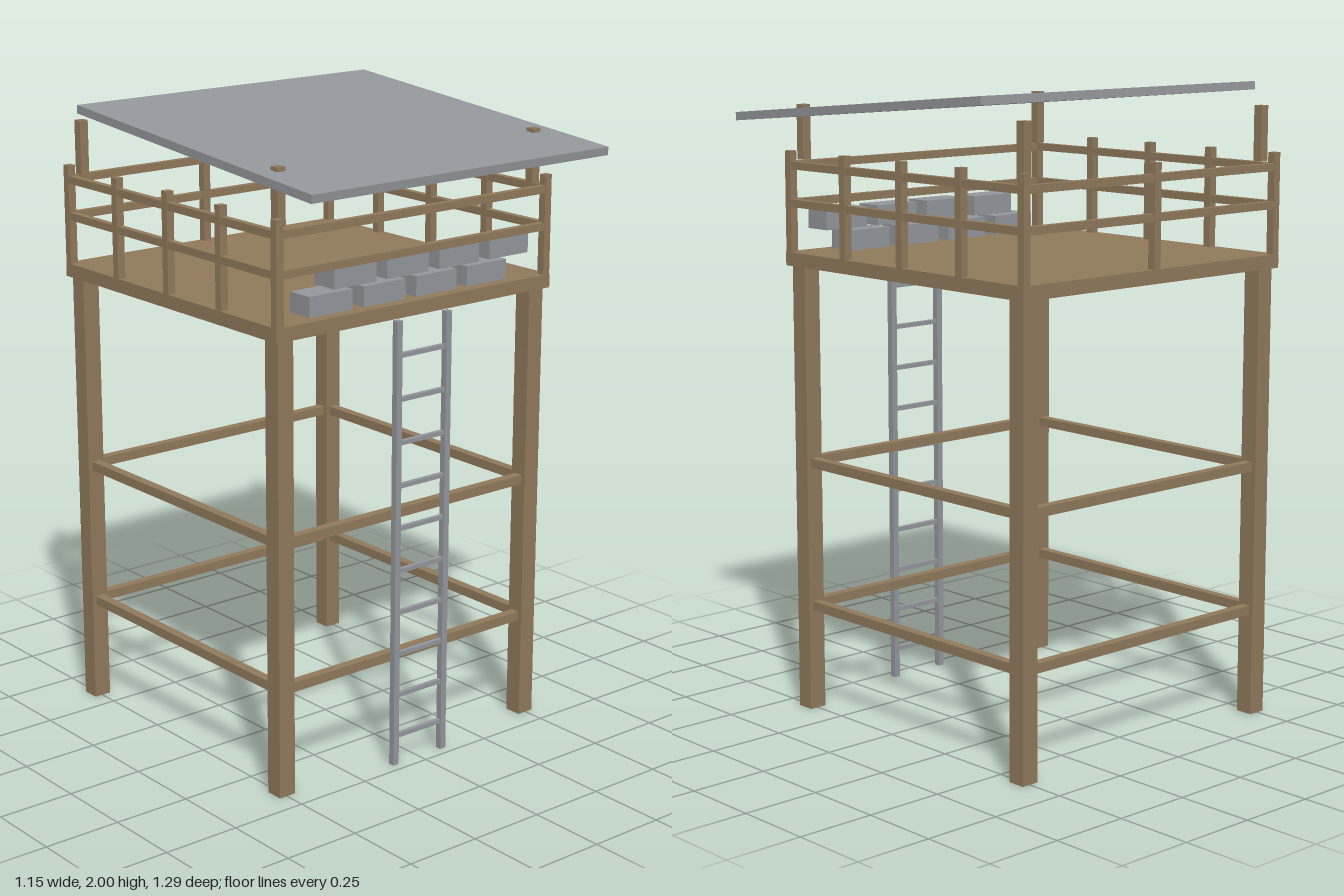
import * as THREE from 'three';

export function createModel() {
  const model = new THREE.Group();
  const wood = new THREE.MeshStandardMaterial({ name: 'wood', color: 0x917a5c });
  const metal = new THREE.MeshStandardMaterial({ name: 'grey metal', color: 0x94979c });

  const box = (name, mat, w, h, d, x, y, z) => {
    const mesh = new THREE.Mesh(new THREE.BoxGeometry(w, h, d), mat);
    mesh.name = name;
    mesh.position.set(x, y, z);
    model.add(mesh);
    return mesh;
  };

  const legX = 0.498, frontZ = 0.4, backZ = -0.596, midZ = (frontZ + backZ) / 2;
  const deckTop = 1.475, railX = 0.527, railFront = 0.43, railBack = -0.627;

  // Legs and short roof posts
  for (const x of [-legX, legX]) {
    for (const z of [frontZ, backZ]) {
      box('leg', wood, 0.058, 1.432, 0.058, x, 0.716, z);
      box('roofPost', wood, 0.03, 0.17, 0.03, x, 1.848, z);
    }
  }

  // Horizontal braces on all four sides
  for (const y of [0.341, 0.807]) {
    for (const z of [frontZ, backZ]) box('crossBrace', wood, 2 * legX - 0.05, 0.03, 0.03, 0, y, z);
    for (const x of [-legX, legX]) box('sideBrace', wood, 0.03, 0.03, frontZ - backZ - 0.05, x, y, midZ);
  }

  // Deck
  box('deck', wood, 1.082, 0.043, 1.084, 0, deckTop - 0.0215, midZ);

  // Railing posts and rails
  const railPost = (x, z) => box('railPost', wood, 0.026, 0.315, 0.026, x, deckTop + 0.1575, z);
  for (const x of [-railX, railX]) {
    for (let i = 0; i < 5; i++) railPost(x, railFront + (railBack - railFront) * i / 4);
  }
  railPost(0, railBack);
  for (const y of [1.628, 1.745]) {
    for (const z of [railFront, railBack]) box('endRail', wood, 2 * railX, 0.024, 0.022, 0, y, z);
    for (const x of [-railX, railX]) box('sideRail', wood, 0.022, 0.024, 1.08, x, y, midZ);
  }

  // Sloping roof
  const roof = box('roof', metal, 1.15, 0.026, 1.15, 0, 1.937, 0.0725);
  roof.rotation.x = 0.0873;

  // Ladder
  for (const x of [-0.098, 0.098]) box('ladderRail', metal, 0.021, 1.432, 0.021, x, 0.716, 0.46);
  for (let i = 0; i < 10; i++) box('ladderRung', metal, 0.18, 0.014, 0.014, 0, 0.095 + i * 0.1365, 0.46);

  // Two staggered rows of barrier blocks
  for (let row = 0; row < 2; row++) {
    for (let i = 0; i < 4; i++) {
      box('barrierBlock', metal, 0.162, 0.063, 0.09,
        -0.311 + i * 0.2055 + row * 0.092, deckTop + 0.0325 + row * 0.071, 0.363);
    }
  }

  return model;
}
